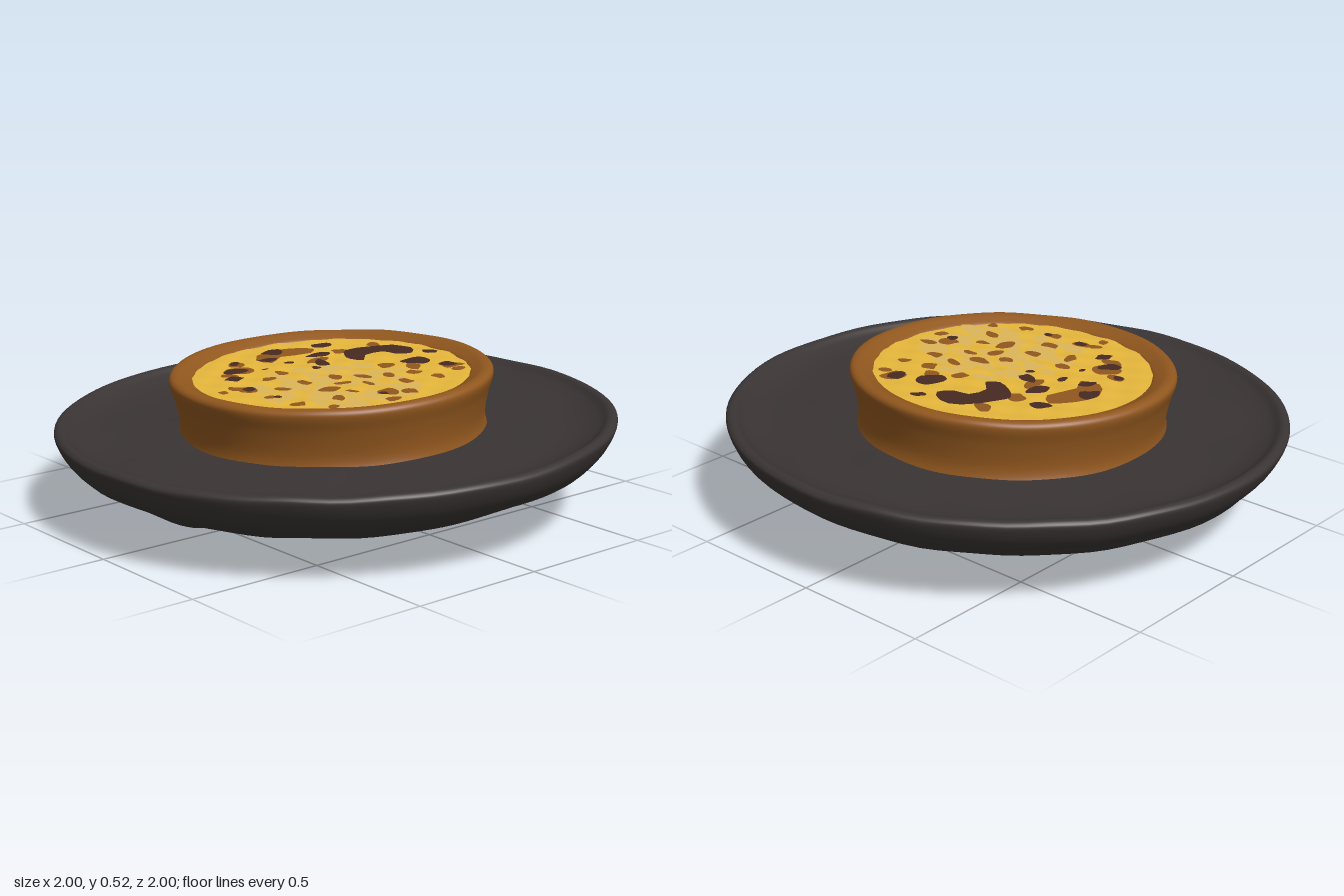
import * as THREE from 'three';
import { mergeGeometries, mergeVertices } from 'three/addons/utils/BufferGeometryUtils.js';

const mat = (name, color) => {
  const m = new THREE.MeshStandardMaterial({ color });
  m.name = name;
  return m;
};

const TART_X = -0.02, FILL_Y = 0.484, FILL_R = 0.5;

// Small seeded random generator
function seeded(seed) {
  return () => (seed = (seed * 16807) % 2147483647) / 2147483647;
}

// Gentle hand-made unevenness
const wobble = (x, y, z) => Math.sin(x * 9 + y * 5) * Math.sin(z * 8 + 1) + 0.5 * Math.sin(x * 17 - z * 13);
const custardHeight = (x, z) => FILL_Y + 0.0025 * Math.sin(x * 38 + z * 9) * Math.sin(z * 41 - x * 7);

// Smooth turned body whose vertices are moved by a rule
function turned(profile, divisions, segments, move) {
  const pts = new THREE.SplineCurve(profile.map(p => new THREE.Vector2(...p))).getPoints(divisions);
  pts.forEach(p => { p.x = Math.max(p.x, 0); });
  let g = new THREE.LatheGeometry(pts, segments);
  g.deleteAttribute('uv');
  g.deleteAttribute('normal');
  g = mergeVertices(g, 1e-5);
  const pos = g.attributes.position, v = new THREE.Vector3();
  for (let i = 0; i < pos.count; i++) {
    v.fromBufferAttribute(pos, i);
    move(v);
    pos.setXYZ(i, v.x, v.y, v.z);
  }
  g.computeVertexNormals();
  return g;
}

// Flat patch laid on the custard, outlined by [x, z] points
function patch(points, lift) {
  const curve = new THREE.CatmullRomCurve3(points.map(p => new THREE.Vector3(p[0], -p[1], 0)), true);
  const outline = curve.getPoints(points.length * 2).slice(0, -1);
  const g = new THREE.ShapeGeometry(new THREE.Shape(outline.map(p => new THREE.Vector2(p.x, p.y))));
  g.rotateX(-Math.PI / 2);
  const pos = g.attributes.position;
  for (let i = 0; i < pos.count; i++) {
    pos.setY(i, custardHeight(pos.getX(i), pos.getZ(i)) + lift);
  }
  return g;
}

// Ragged spot; position and size in hundredths of a unit
function spot([x, z, w, h], rand, lift) {
  const turn = (rand() - 0.5) * 0.9, pts = [];
  for (let i = 0; i < 8; i++) {
    const a = (i / 8) * Math.PI * 2, k = 0.004 + rand() * 0.0026;
    const px = Math.cos(a) * w * k, pz = Math.sin(a) * h * k;
    pts.push([x / 100 + px * Math.cos(turn) - pz * Math.sin(turn),
      z / 100 + px * Math.sin(turn) + pz * Math.cos(turn)]);
  }
  return patch(pts, lift);
}

export function createModel() {
  const model = new THREE.Group();
  model.name = 'tartOnPlate';
  const tart = new THREE.Group();
  tart.name = 'tart';
  model.add(tart);
  const slate = mat('slate', 0x3a3434);
  const crustBrown = mat('crustBrown', 0x91571e);
  const custardYellow = mat('custardYellow', 0xe8b83c);
  const paleCustard = mat('paleCustard', 0xdeb65a);
  const burntBrown = mat('burntBrown', 0x472a22);
  const add = (parent, name, geometry, material) => {
    const m = new THREE.Mesh(geometry, material);
    m.name = name;
    parent.add(m);
  };

  // Shallow plate with a lumpy underside, open where the tart covers it
  add(model, 'plate', turned([
    [0, 0.068], [0.25, 0.068], [0.5, 0.07], [0.65, 0.084], [0.78, 0.13], [0.9, 0.192], [0.965, 0.25],
    [0.998, 0.312], [0.992, 0.334], [0.968, 0.338], [0.93, 0.316], [0.85, 0.299], [0.68, 0.295], [0.5, 0.295],
  ], 84, 96, v => {
    const r = Math.hypot(v.x, v.z);
    if (v.y < 0.2) {
      v.y -= 0.055 * Math.exp(-((v.x + 0.11) ** 2 + (v.z - 0.56) ** 2) / 0.024);
      v.y += 0.012 * v.x * r;
    }
    v.y += 0.003 * wobble(v.x, v.y, v.z) * Math.min(1, r * 2);
  }), slate);

  // Flared pastry case with a rounded lip
  add(tart, 'pastryCrust', turned([
    [0.556, 0.285], [0.549, 0.31], [0.547, 0.34], [0.552, 0.38], [0.563, 0.43], [0.576, 0.47],
    [0.578, 0.493], [0.565, 0.506], [0.542, 0.507], [0.515, 0.496], [0.492, 0.483], [0.485, 0.465],
  ], 44, 96, v => {
    const w = 0.003 * wobble(v.x, v.y * 2, v.z);
    v.x = v.x * (1 + w) + TART_X;
    v.z *= 1 + w;
    v.y += w * 0.6;
  }), crustBrown);

  // Custard filling, softly bumpy
  const custard = new THREE.RingGeometry(0, FILL_R, 96, 32);
  custard.rotateX(-Math.PI / 2);
  custard.translate(TART_X, 0, 0);
  const pos = custard.attributes.position;
  for (let i = 0; i < pos.count; i++) pos.setY(i, custardHeight(pos.getX(i), pos.getZ(i)));
  custard.computeVertexNormals();
  add(tart, 'custard', custard, custardYellow);

  // Pale mottling over the right and front of the custard
  const rand = seeded(71), pale = [];
  for (let i = 0; i < 95; i++) {
    const a = rand() * Math.PI * 2, r = Math.sqrt(rand()) * 29;
    pale.push(spot([14 + Math.cos(a) * r, 10 + Math.sin(a) * r, 4 + rand() * 5, 3 + rand() * 3], rand, 0.003));
  }
  add(tart, 'paleMottling', mergeGeometries(pale), paleCustard);

  // Toasted spots
  const toasted = [
    [6, -19, 5, 6], [14, -25, 7, 5], [28, -34, 4, 4], [22, -36, 7, 9], [17, -11, 7, 3], [27, -10, 6, 4],
    [11, -3, 7, 4], [5, 4, 6, 4], [38, -2, 6, 4], [41, 8, 4, 6], [16, 16, 6, 8], [27, 21, 6, 4],
    [3, 16, 7, 4], [-13, 14, 6, 4], [-10, 22, 4, 6], [4, 27, 7, 4], [23, 35, 5, 5], [-7, 44, 4, 4],
    [-27, 22, 11, 9], [-3, 36, 8, 5], [-20, -36, 8, 5], [-22, -21, 6, 6], [-18, -7, 5, 9], [33, 4, 7, 6],
    [13, 7, 4, 6], [20, 1, 6, 3], [30, -22, 5, 4], [-8, 38, 5, 4], [34, 29, 4, 4], [10, 36, 5, 4],
    [-34, 18, 6, 5], [-24, 29, 8, 5], [20, -20, 5, 5], [24, 12, 5, 3],
  ].map(s => spot(s, rand, 0.0055));
  toasted.push(patch([[-0.41, 0], [-0.39, -0.1], [-0.33, -0.17], [-0.28, -0.12], [-0.31, 0], [-0.27, 0.07], [-0.34, 0.09]], 0.0055));
  add(tart, 'toastedSpots', mergeGeometries(toasted), crustBrown);

  // Burnt spots, the largest a hooked patch near the back
  const burnt = [
    [10, -30, 8, 10], [21, -35, 5, 7], [3, -43, 5, 4], [-33, -21, 6, 7], [-23, -11, 7, 9], [-38, -2, 7, 9],
    [-31, 6, 5, 6], [-13, -5, 9, 4], [-26, 25, 7, 9], [-18, 31, 5, 6], [-35, 18, 4, 4], [-3, 36, 5, 4],
    [34, 7, 4, 4], [-22, 3, 3, 4], [12, 35, 3, 3], [-21, 15, 2, 3], [-9, 1, 3, 3],
  ].map(s => spot(s, rand, 0.008));
  burnt.push(patch([[-0.2, -0.28], [-0.14, -0.4], [-0.06, -0.42], [0, -0.37], [-0.03, -0.32],
    [-0.09, -0.31], [-0.1, -0.23], [-0.05, -0.18], [-0.09, -0.15], [-0.16, -0.18], [-0.21, -0.23]], 0.008));
  add(tart, 'burntSpots', mergeGeometries(burnt), burntBrown);

  // The plate is slightly tipped toward the front, the tart a little more
  tart.rotation.x = 0.012;
  tart.position.set(0, -0.005, -0.006);
  model.rotation.x = 0.03;
  model.position.z = -0.01;
  return model;
}
